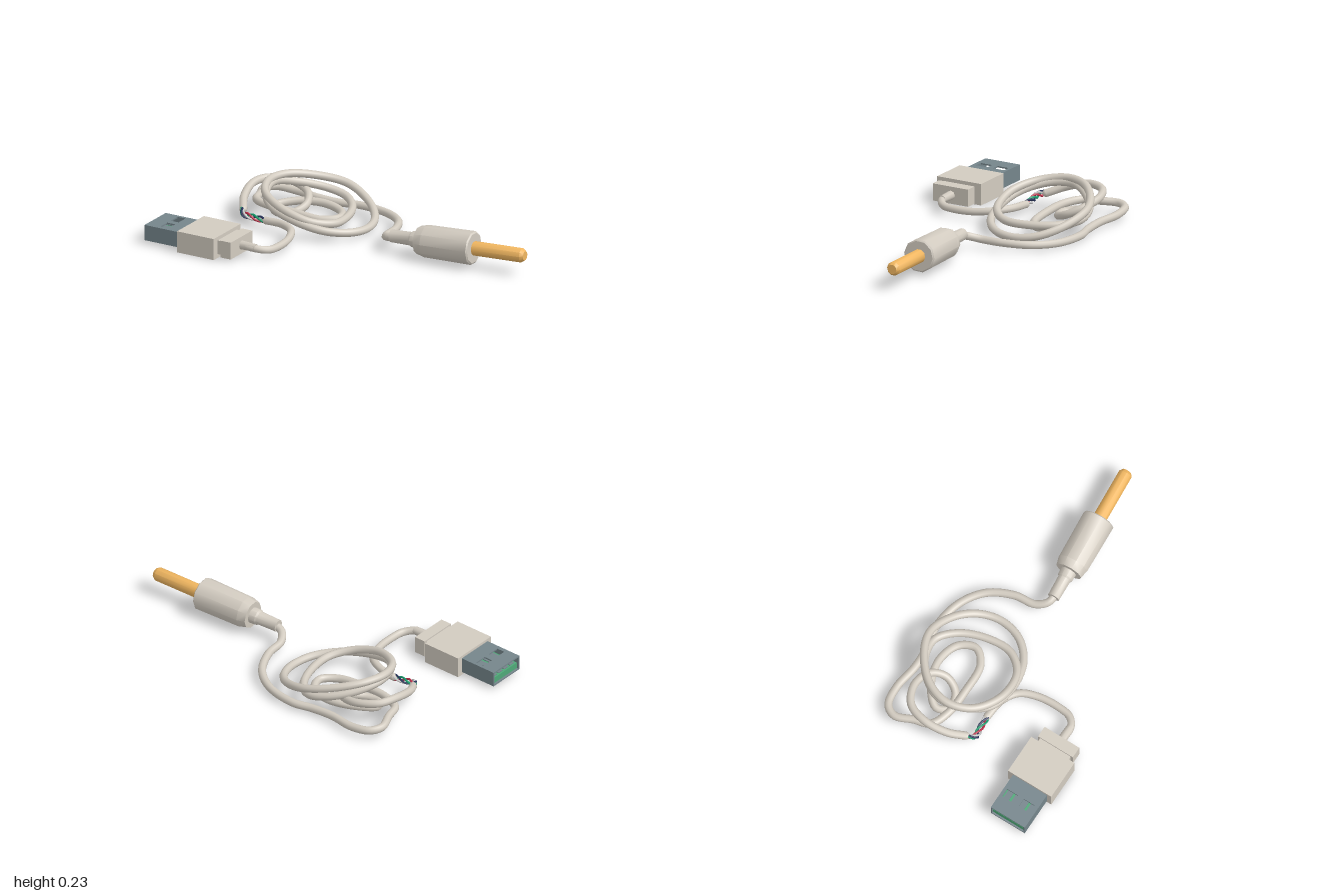
import * as THREE from 'three';
import { toCreasedNormals } from 'three/addons/utils/BufferGeometryUtils.js';

const mat = (color) => new THREE.MeshStandardMaterial({ color });
const V = (p) => new THREE.Vector3(...p);

export function createModel() {
  const group = new THREE.Group();
  const beige = mat(0xd2cbc0), steel = mat(0x75858b), green = mat(0x4fa878), brass = mat(0xf0b660);
  steel.side = THREE.DoubleSide;

  const add = (name, geo, material, parent = group) => {
    const m = new THREE.Mesh(geo, material);
    m.name = name;
    parent.add(m);
    return m;
  };
  const box = (name, x0, x1, y0, y1, z0, z1, material, parent) => {
    const m = add(name, new THREE.BoxGeometry(x1 - x0, y1 - y0, z1 - z0), material, parent);
    m.position.set((x0 + x1) / 2, (y0 + y1) / 2, (z0 + z1) / 2);
    return m;
  };
  // Smooth round cable through points, with rounded ends unless it is a closed ring
  const cable = (name, pts, radius, closed = false) => {
    const curve = new THREE.CatmullRomCurve3(pts.map(V), closed, 'centripetal');
    add(name, new THREE.TubeGeometry(curve, pts.length * 7, radius, 10, closed), beige);
    for (const t of closed ? [] : [0, 1]) {
      add(name + 'End', new THREE.SphereGeometry(radius, 10, 6), beige).position.copy(curve.getPoint(t));
    }
  };

  // Long cable: from the round plug along the back, round the low lobe, then the inner loops
  cable('longCable', [
    [0.22, 0.09, -0.07], [0.16, 0.075, -0.08], [0.115, 0.055, -0.14], [0.1, 0.05, -0.26], [0.03, 0.04, -0.4],
    [-0.1, 0.032, -0.49], [-0.28, 0.03, -0.52], [-0.4, 0.03, -0.495], [-0.53, 0.035, -0.49],
    [-0.68, 0.04, -0.51], [-0.79, 0.05, -0.49], [-0.825, 0.055, -0.43], [-0.79, 0.06, -0.33],
    [-0.76, 0.06, -0.24], [-0.66, 0.06, -0.195], [-0.5, 0.055, -0.185], [-0.33, 0.04, -0.2],
    [-0.26, 0.04, -0.27], [-0.3, 0.04, -0.36], [-0.43, 0.05, -0.4], [-0.57, 0.05, -0.36],
    [-0.66, 0.035, -0.27], [-0.62, 0.025, -0.21], [-0.53, 0.03, -0.23], [-0.49, 0.06, -0.31],
    [-0.53, 0.1, -0.39], [-0.64, 0.13, -0.42], [-0.75, 0.145, -0.37], [-0.79, 0.145, -0.26],
    [-0.77, 0.11, -0.13], [-0.72, 0.075, -0.04]], 0.022);

  // Tilted coil of two turns
  cable('tiltedCoil', [
    [-0.46, 0.115, -0.465], [-0.58, 0.15, -0.38], [-0.65, 0.18, -0.26], [-0.63, 0.175, -0.13],
    [-0.53, 0.14, -0.01], [-0.37, 0.1, 0.025], [-0.2, 0.06, -0.01], [-0.09, 0.04, -0.11],
    [-0.055, 0.035, -0.24], [-0.09, 0.05, -0.36], [-0.19, 0.09, -0.46], [-0.35, 0.145, -0.51],
    [-0.5, 0.18, -0.45], [-0.62, 0.205, -0.33], [-0.655, 0.205, -0.2], [-0.6, 0.185, -0.07],
    [-0.45, 0.15, 0.015], [-0.28, 0.1, 0], [-0.19, 0.075, -0.1], [-0.19, 0.07, -0.24],
    [-0.25, 0.075, -0.39], [-0.35, 0.09, -0.475]], 0.022, true);

  // Short cable to the flat plug
  cable('shortCable', [
    [-0.56, 0.05, -0.01], [-0.45, 0.055, 0.005], [-0.36, 0.055, 0.06], [-0.315, 0.045, 0.16],
    [-0.305, 0.042, 0.28], [-0.32, 0.046, 0.36], [-0.37, 0.056, 0.4], [-0.47, 0.06, 0.4]], 0.021);

  // Bare twisted wires bridging the stripped gap
  const gap = new THREE.CatmullRomCurve3([[-0.73, 0.08, -0.05], [-0.695, 0.065, 0], [-0.63, 0.055, -0.005], [-0.54, 0.05, -0.01]].map(V));
  [0x18a070, 0xc0304a, 0xdddddd, 0x28345c].forEach((color, i) => {
    const pts = [];
    for (let k = 0; k <= 24; k++) {
      const a = k / 24 * Math.PI * 3 + i * Math.PI / 2;
      const p = gap.getPoint(k / 24);
      pts.push(p.add(new THREE.Vector3(0, Math.cos(a) * 0.013, Math.sin(a) * 0.013)));
    }
    add('bareWire' + (i + 1), new THREE.TubeGeometry(new THREE.CatmullRomCurve3(pts), 48, 0.006, 6), mat(color));
  });

  // Round plug, turned about its slightly tilted axis
  const jack = new THREE.Group();
  jack.name = 'roundPlug';
  jack.position.set(0.19, 0.09, -0.07);
  const axis = new THREE.Vector3(0.81, 0.026, -0.053);
  jack.quaternion.setFromUnitVectors(new THREE.Vector3(0, 1, 0), axis.normalize());
  group.add(jack);
  const turned = (name, profile, sides, material) => add(name, toCreasedNormals(
    new THREE.LatheGeometry(profile.map((p) => new THREE.Vector2(...p)), sides), 0.66), material, jack);
  turned('strainRelief', [[0, 0], [0.034, 0], [0.037, 0.12], [0.044, 0.13], [0.046, 0.18]], 10, beige);
  turned('plugBody', [[0, 0.168], [0.076, 0.168], [0.088, 0.215], [0.092, 0.495], [0.084, 0.502], [0, 0.502]], 10, beige);
  turned('plugPin', [[0, 0.49], [0.039, 0.49], [0.039, 0.792], [0.026, 0.81], [0, 0.81]], 10, brass);

  // Flat plug: moulded grip, recessed neck, collar and cable sleeve
  const flat = new THREE.Group();
  flat.name = 'flatPlug';
  group.add(flat);
  box('grip', -0.78, -0.55, 0, 0.12, 0.265, 0.54, beige, flat);
  box('neck', -0.55, -0.525, 0.022, 0.1, 0.305, 0.5, beige, flat);
  box('collar', -0.525, -0.46, 0.012, 0.108, 0.292, 0.513, beige, flat);
  const sleeve = add('sleeve', new THREE.CylinderGeometry(0.022, 0.026, 0.09, 8), beige, flat);
  sleeve.rotation.z = -Math.PI / 2;
  sleeve.position.set(-0.415, 0.06, 0.4);

  // Metal shell, open at the end, with two windows in the top
  const t = 0.008, x0 = -1, x1 = -0.78, y0 = 0.018, y1 = 0.105, z0 = 0.297, z1 = 0.513;
  const rect = (Type, a, b, c, d) => new Type([[a, c], [b, c], [b, d], [a, d]].map((p) => new THREE.Vector2(...p)));
  const top = rect(THREE.Shape, x0, x1, z0, z1);
  for (const z of [0.315, 0.42]) top.holes.push(rect(THREE.Path, -0.915, -0.865, z, z + 0.07));
  const plate = new THREE.ExtrudeGeometry(top, { depth: t, bevelEnabled: false });
  plate.rotateX(Math.PI / 2);
  add('shellTop', plate, steel, flat).position.y = y1;
  box('shellBottom', x0, x1, y0, y0 + t, z0, z1, steel, flat);
  for (const z of [z0, z1 - t]) box('shellSide', x0, x1, y0, y1, z, z + t, steel, flat);

  // Contact tongue and its strips inside the shell
  box('tongue', -0.99, -0.78, y0 + t, 0.06, z0 + t, z1 - t, green, flat);
  for (let i = 0; i < 4; i++) {
    const z = 0.315 + i * 0.048;
    box('contact' + (i + 1), -0.98, -0.82, 0.06, 0.064, z, z + 0.034, steel, flat);
  }
  return group;
}
